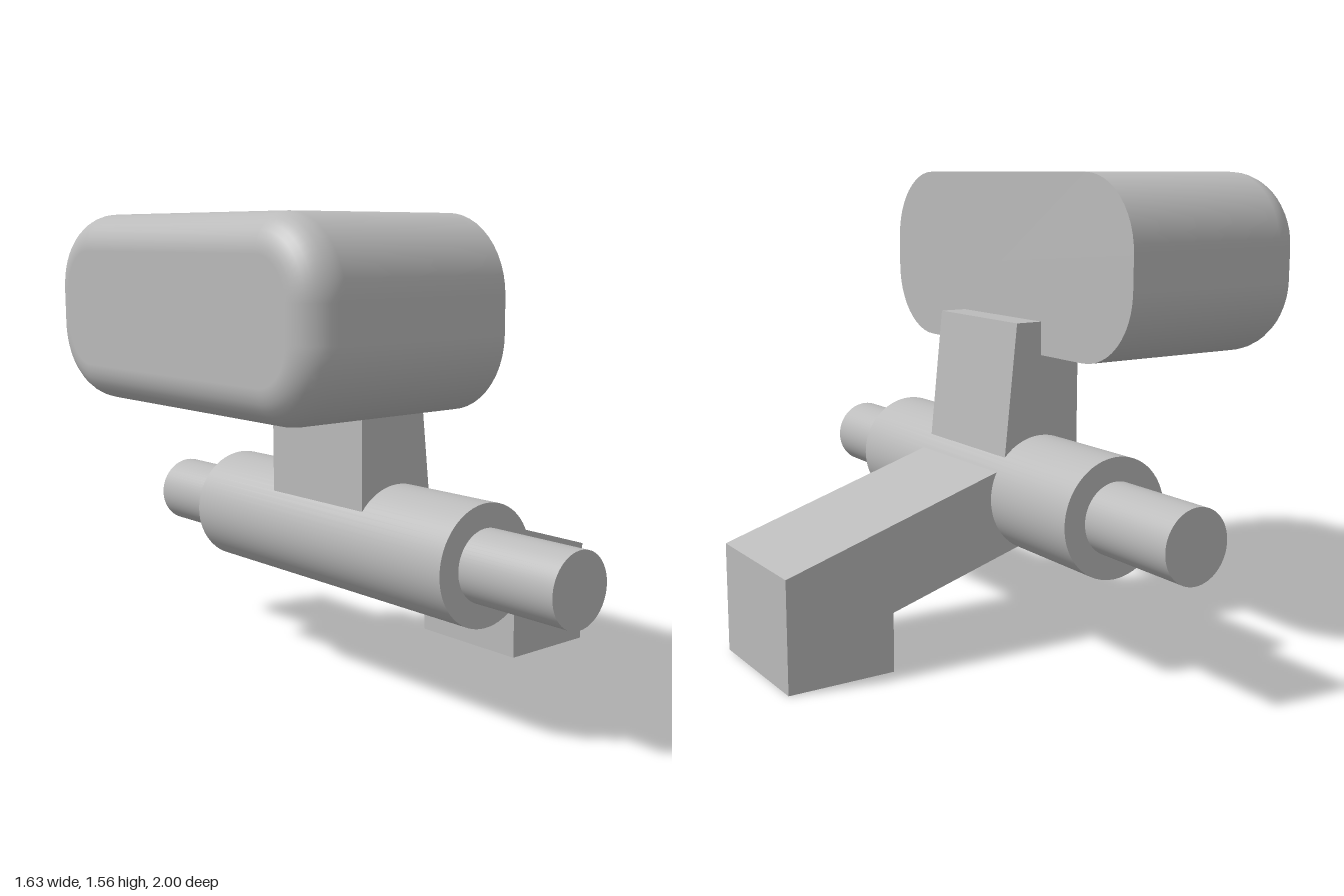
import * as THREE from 'three';

const AXLE_X = -0.11, AXLE_Y = 0.51;

// Block with a rounded-rectangle section, flat at +x and filleted at -x
function headGeometry() {
  const halfZ = 0.695, halfY = 0.295, corner = 0.24, fillet = 0.115;
  const x0 = -0.82, x1 = -0.11, cy = 1.265, arcSteps = 12, filletSteps = 8;
  // Each ring: x, corner radius, core scale and normal tilt towards -x
  const rings = [
    { x: x1, r: 0, core: 0, tilt: -Math.PI / 2 },
    { x: x1, r: corner, core: 1, tilt: -Math.PI / 2 },
    { x: x1, r: corner, core: 1, tilt: 0 },
  ];
  for (let i = 0; i <= filletSteps; i++) {
    const t = (i / filletSteps) * Math.PI / 2;
    rings.push({ x: x0 + fillet * (1 - Math.sin(t)), r: corner - fillet * (1 - Math.cos(t)), core: 1, tilt: t });
  }
  rings.push({ x: x0, r: 0, core: 0, tilt: Math.PI / 2 });

  const positions = [], normals = [], index = [];
  const count = 4 * (arcSteps + 1);
  for (const { x, r, core, tilt } of rings) {
    for (let q = 0; q < 4; q++) {
      const sz = q === 0 || q === 3 ? 1 : -1, sy = q < 2 ? 1 : -1;
      for (let k = 0; k <= arcSteps; k++) {
        const a = (q + k / arcSteps) * Math.PI / 2;
        const c = Math.cos(a), s = Math.sin(a);
        positions.push(x, cy + core * sy * (halfY - corner) + r * s, core * sz * (halfZ - corner) + r * c);
        normals.push(-Math.sin(tilt), Math.cos(tilt) * s, Math.cos(tilt) * c);
      }
    }
  }
  for (let i = 0; i < rings.length - 1; i++) {
    for (let j = 0; j < count; j++) {
      const a = i * count + j, b = i * count + (j + 1) % count;
      index.push(a, b, a + count, b, b + count, a + count);
    }
  }
  const geometry = new THREE.BufferGeometry();
  geometry.setAttribute('position', new THREE.Float32BufferAttribute(positions, 3));
  geometry.setAttribute('normal', new THREE.Float32BufferAttribute(normals, 3));
  geometry.setIndex(index);
  return geometry;
}

// Side profile in x/y, extruded evenly about z = 0
function plateGeometry(points, depth) {
  const shape = new THREE.Shape(points.map(([x, y]) => new THREE.Vector2(x, y)));
  return new THREE.ExtrudeGeometry(shape, { depth, bevelEnabled: false }).translate(0, 0, -depth / 2);
}

// Cylinder lying along z on the pivot axis
function axleGeometry(radius, length) {
  return new THREE.CylinderGeometry(radius, radius, length, 64)
    .rotateX(Math.PI / 2).translate(AXLE_X, AXLE_Y, 0);
}

export function createModel() {
  const model = new THREE.Group();
  model.name = 'pivotPedal';
  const grey = new THREE.MeshStandardMaterial({ color: 0xbbbbbb });
  grey.name = 'grey';

  const add = (name, geometry) => {
    const mesh = new THREE.Mesh(geometry, grey);
    mesh.name = name;
    model.add(mesh);
  };

  add('head', headGeometry());

  // Pivot: thin shaft through a thicker sleeve
  add('shaft', axleGeometry(0.117, 2));
  add('sleeve', axleGeometry(0.194, 1.265));

  // Tapered post rising into the head
  add('post', plateGeometry([[-0.26, 0.55], [0.04, 0.55], [-0.015, 1.08], [-0.26, 1.08]], 0.465));

  // Sloping arm ending in a foot
  add('footArm', plateGeometry([
    [-0.08, 0.353], [0.45, 0.195], [0.45, 0], [0.815, 0], [0.815, 0.365], [-0.05, 0.634],
  ], 0.465));

  return model;
}
